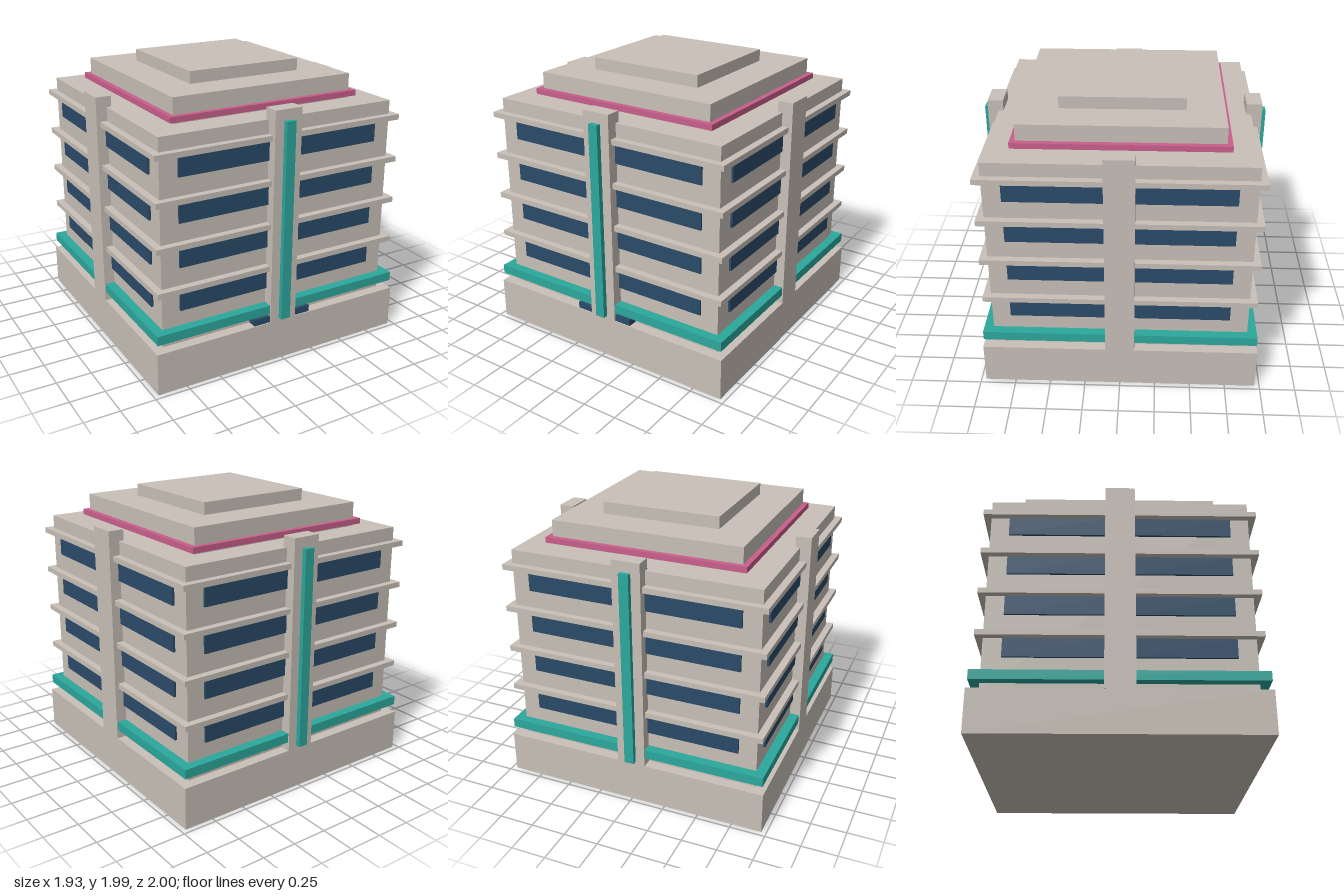
import * as THREE from 'three';

const material = (name, color) => {
  const m = new THREE.MeshStandardMaterial({ color });
  m.name = name;
  return m;
};

export function createModel() {
  const concrete = material('concrete', 0xc8c0b8);
  const glass = material('dark blue glass', 0x2a4b68);
  const teal = material('teal trim', 0x2ca89d);
  const pink = material('pink trim', 0xca5f8c);

  const model = new THREE.Group();
  model.name = 'building';

  // Box given by its half width, half depth and vertical extent
  const block = (parent, name, mat, hx, hz, y0, y1, x = 0, z = 0) => {
    const mesh = new THREE.Mesh(new THREE.BoxGeometry(hx * 2, y1 - y0, hz * 2), mat);
    mesh.position.set(x, (y0 + y1) / 2, z);
    mesh.name = name;
    parent.add(mesh);
    return mesh;
  };

  // Stacked masses
  block(model, 'base', concrete, 0.965, 0.965, 0, 0.3);
  block(model, 'body', concrete, 0.89, 0.89, 0.3, 1.735);
  block(model, 'penthouse', concrete, 0.685, 0.685, 1.735, 1.907);
  block(model, 'roofCap', concrete, 0.425, 0.425, 1.907, 1.992);

  // Coloured bands
  block(model, 'tealBand', teal, 0.957, 0.957, 0.362, 0.428);
  block(model, 'pinkBand', pink, 0.722, 0.722, 1.752, 1.792);

  // Floors: a window band on every side under a projecting ledge
  const floors = 4;
  const pitch = 0.307;
  for (let i = 0; i < floors; i++) {
    const y = 0.68 + i * pitch;
    block(model, 'ledge', concrete, 0.94, 0.94, y, y + 0.038);
  }

  // Four facades, each turned about the vertical axis
  ['front', 'left', 'back', 'right'].forEach((side, k) => {
    const facade = new THREE.Group();
    facade.name = side + 'Facade';
    facade.rotation.y = (k * Math.PI) / 2;
    for (let i = 0; i < floors; i++) {
      const y = 0.54 + i * pitch;
      for (const s of [-1, 1]) {
        block(facade, 'window', glass, 0.331, 0.0095, y, y + 0.135, s * 0.431, 0.8955);
      }
    }
    block(facade, 'pillar', concrete, 0.102, 0.055, 0.3, 1.81, 0, 0.911);
    // Vertical teal fin on the front and back only
    if (k % 2 === 0) block(facade, 'fin', teal, 0.035, 0.02, 0.322, 1.735, 0, 0.98);
    model.add(facade);
  });

  // Entrance on either side of the front pillar
  for (const s of [-1, 1]) {
    block(model, 'entrance', glass, 0.0615, 0.035, 0.3, 0.347, s * 0.1635, 0.922);
  }

  return model;
}
